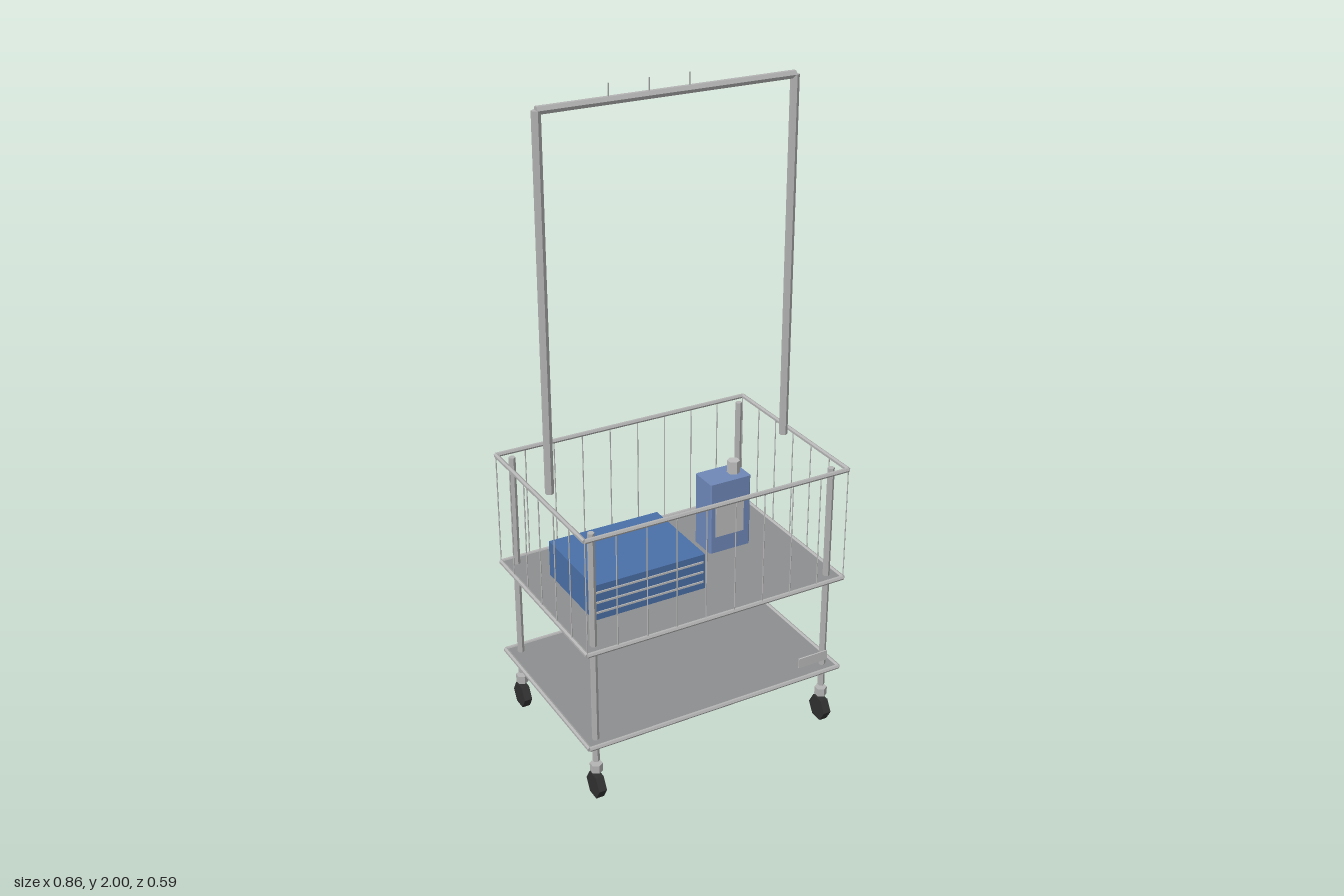
import * as THREE from 'three';

const mat = (name, color) => {
  const m = new THREE.MeshStandardMaterial({ color, flatShading: true });
  m.name = name;
  return m;
};

export function createModel() {
  const root = new THREE.Group();
  root.name = 'linenTrolley';
  const metal = mat('brushed metal', 0xb2b3b2);
  const shelfGrey = mat('shelf grey', 0x8c8e8f);
  const rubber = mat('black rubber', 0x303030);
  const towelBlue = mat('towel blue', 0x4a70a8);
  const bottleBlue = mat('bottle blue', 0x6f88b8);
  const pale = mat('pale grey', 0xbcbdbc);

  const add = (name, geo, material, x = 0, y = 0, z = 0, parent = root) => {
    const m = new THREE.Mesh(geo, material);
    m.name = name;
    m.position.set(x, y, z);
    parent.add(m);
    return m;
  };
  // Straight tube between two points
  const up = new THREE.Vector3(0, 1, 0);
  const rod = (name, a, b, r, sides = 6, parent = root) => {
    const p = new THREE.Vector3(...a), q = new THREE.Vector3(...b);
    const d = q.clone().sub(p);
    const m = add(name, new THREE.CylinderGeometry(r, r, d.length(), sides), metal, 0, 0, 0, parent);
    m.position.copy(p).add(q).multiplyScalar(0.5);
    m.quaternion.setFromUnitVectors(up, d.normalize());
    return m;
  };

  const W = 0.423, D = 0.29, PX = 0.387, PZ = 0.255;
  const LOW = 0.193, MID = 0.508, TOP = 0.868;

  // Rectangular rims, with shelf plates in the lower two
  for (const [name, y] of [['lowerShelf', LOW], ['basketFloor', MID], ['basketRim', TOP]]) {
    const g = new THREE.Group();
    g.name = name;
    root.add(g);
    for (const s of [-1, 1]) {
      rod('longRim', [-W, y, s * D], [W, y, s * D], 0.007, 6, g);
      rod('shortRim', [s * W, y, -D], [s * W, y, D], 0.007, 6, g);
    }
    if (y < TOP) add('shelfPlate', new THREE.BoxGeometry(2 * W, 0.005, 2 * D), shelfGrey, 0, y, 0, g);
  }

  // Corner posts and casters
  for (const sx of [-1, 1]) for (const sz of [-1, 1]) {
    rod('cornerPost', [sx * PX, 0.12, sz * PZ], [sx * PX, TOP, sz * PZ], 0.0105);
    const c = new THREE.Group();
    c.name = 'caster';
    c.position.set(sx * PX, 0, sz * PZ);
    root.add(c);
    add('casterCollar', new THREE.CylinderGeometry(0.019, 0.019, 0.026, 6), metal, 0, 0.097, 0, c);
    const wheel = add('wheel', new THREE.CylinderGeometry(0.041, 0.041, 0.025, 6), rubber, 0, 0.0365, 0, c);
    wheel.rotation.z = Math.PI / 2;
  }

  // Basket wires on all four sides
  const wires = new THREE.Group();
  wires.name = 'basketWires';
  root.add(wires);
  for (const s of [-1, 1]) {
    for (let i = 0; i <= 9; i++) {
      const x = -W + (2 * W * i) / 9;
      rod('wire', [x, MID, s * D], [x, TOP, s * D], 0.002, 4, wires);
    }
    for (let i = 1; i < 6; i++) {
      const z = -D + (2 * D * i) / 6;
      rod('wire', [s * W, MID, z], [s * W, TOP, z], 0.002, 4, wires);
    }
  }

  // Hanging frame with three small hooks
  for (const s of [-1, 1]) rod('framePole', [s * PX, TOP, 0], [s * PX, 1.955, 0], 0.013);
  rod('hangingRail', [-PX, 1.955, 0], [PX, 1.955, 0], 0.012);
  for (const x of [-0.182, -0.063, 0.057]) rod('hook', [x, 1.955, 0], [x, 2, 0], 0.002, 5);

  // Folded towels with pale fold lines on the front
  add('towelStack', new THREE.BoxGeometry(0.363, 0.118, 0.29), towelBlue, -0.1475, 0.566, 0);
  for (const y of [0.535, 0.568, 0.601])
    add('foldLine', new THREE.BoxGeometry(0.35, 0.006, 0.004), pale, -0.1475, y, 0.146);

  // Bottle with slightly bevelled corners, cap and label
  const b = 0.004, hw = 0.07, hd = 0.046;
  const outline = new THREE.Shape([
    [-hw + b, -hd], [hw - b, -hd], [hw, -hd + b], [hw, hd - b],
    [hw - b, hd], [-hw + b, hd], [-hw, hd - b], [-hw, -hd + b],
  ].map(([x, y]) => new THREE.Vector2(x, y)));
  const body = new THREE.ExtrudeGeometry(outline, { depth: 0.237, bevelEnabled: false });
  body.rotateX(-Math.PI / 2);
  add('bottle', body, bottleBlue, 0.217, MID, -0.062);
  const cap = new THREE.CylinderGeometry(0.02, 0.02, 0.04, 6);
  add('bottleCap', cap, pale, 0.252, 0.765, -0.061);
  add('bottleLabel', new THREE.BoxGeometry(0.097, 0.11, 0.004), pale, 0.213, 0.62, -0.0145);

  // Small tag plate at the front
  add('tagPlate', new THREE.BoxGeometry(0.1, 0.032, 0.004), pale, 0.325, 0.254, 0.294);

  return root;
}
